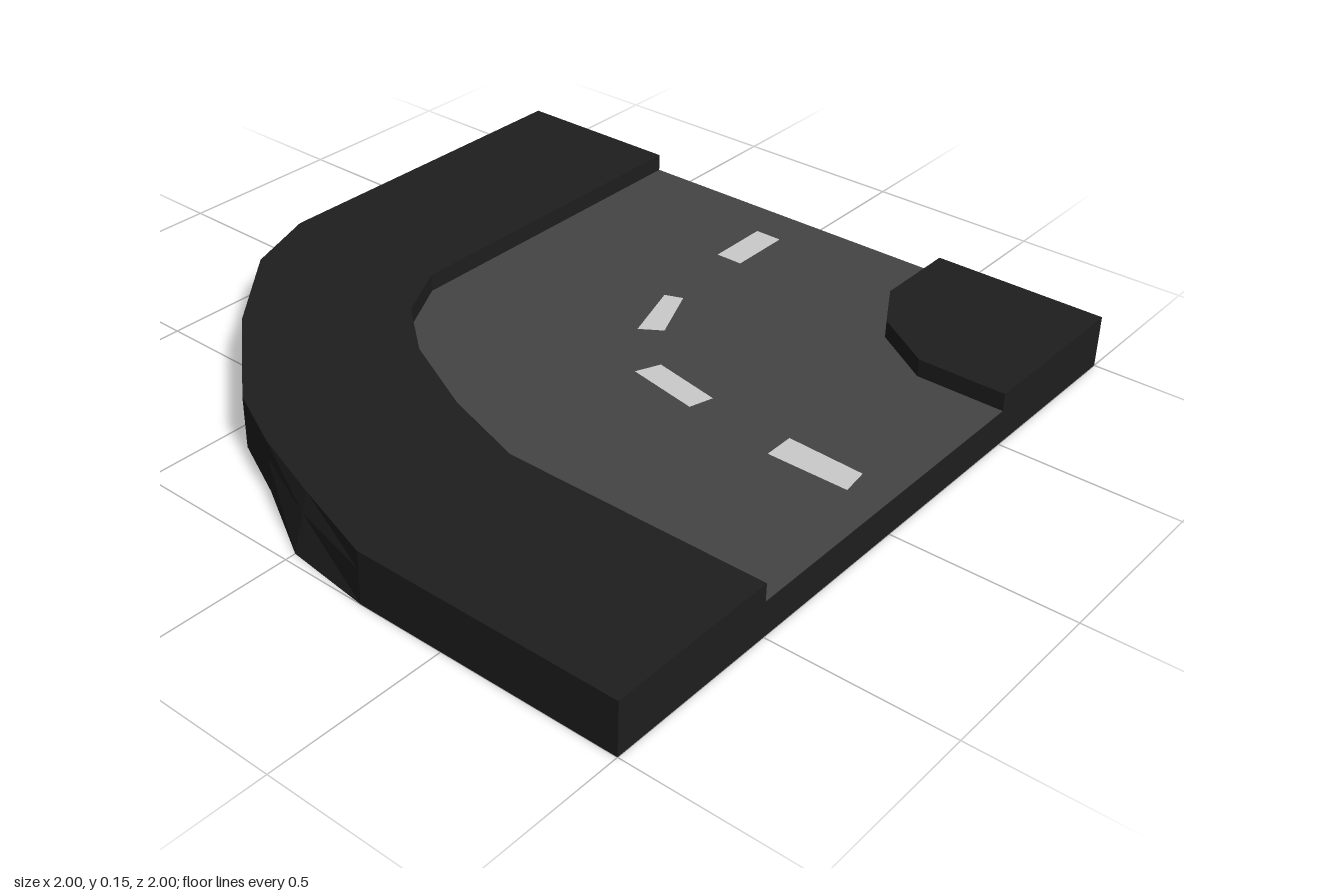
import * as THREE from 'three';

const ROAD_Y = 0.1, TOP_Y = 0.15, BASE_Y = 0.098;

const material = (color) => new THREE.MeshStandardMaterial({ color, flatShading: true });

// Plan outlines are given as [x, z] pairs
const planShape = (points) => new THREE.Shape(points.map(([x, z]) => new THREE.Vector2(x, -z)));

// Upright prism standing on a plan outline
function prism(name, points, bottom, top, mat) {
  const geometry = new THREE.ExtrudeGeometry(planShape(points), { depth: top - bottom, bevelEnabled: false });
  geometry.rotateX(-Math.PI / 2).translate(0, bottom, 0);
  // One outer corner leans inward towards the top
  const p = geometry.attributes.position;
  for (let i = 0; i < p.count; i++) {
    if (Math.abs(p.getX(i) + 0.97) < 0.001 && Math.abs(p.getZ(i)) < 0.001) {
      p.setX(i, p.getX(i) + 0.05 * p.getY(i) / TOP_Y);
    }
  }
  geometry.computeVertexNormals();
  const mesh = new THREE.Mesh(geometry, mat);
  mesh.name = name;
  return mesh;
}

// Flat upward-facing sheet
function sheet(name, points, y, mat) {
  const geometry = new THREE.ShapeGeometry(planShape(points));
  geometry.rotateX(-Math.PI / 2).translate(0, y, 0);
  const mesh = new THREE.Mesh(geometry, mat);
  mesh.name = name;
  return mesh;
}

export function createModel() {
  const group = new THREE.Group();
  group.name = 'roadCorner';
  const kerb = material(0x1e1e1e), asphalt = material(0x444444), paint = material(0xcccccc);

  // Curves that bound the kerbs, from the front edge round to the right edge
  const outer = [[-1, 1], [-1, 0.25], [-0.97, 0], [-0.84, -0.23], [-0.75, -0.42],
    [-0.5, -0.71], [-0.25, -0.92], [-0.03, -1], [1, -1]];
  const inner = [[-0.5, 1], [-0.5, 0.25], [-0.42, 0], [-0.3, -0.25], [-0.17, -0.41], [0, -0.5], [1, -0.5]];
  const island = [[0.5, 1], [0.5, 0.75], [0.61, 0.58], [0.75, 0.5], [1, 0.5]];

  // Slab, raised kerbs and road surface
  group.add(prism('base', [...outer, [1, 1]], 0, BASE_Y, kerb));
  group.add(prism('outerKerb', [...outer, ...[...inner].reverse()], BASE_Y, TOP_Y, kerb));
  group.add(prism('innerKerb', [...island, [1, 1]], BASE_Y, TOP_Y, kerb));
  group.add(sheet('roadSurface', [...inner, ...[...island].reverse()], ROAD_Y, asphalt));

  // Painted centre line
  const dashes = [
    [[0.68, -0.03], [0.87, -0.03], [0.87, 0.05], [0.68, 0.05]],
    [[0.21, 0.06], [0.4, 0], [0.42, 0.05], [0.25, 0.12]],
    [[0.04, 0.19], [0.11, 0.22], [0.07, 0.42], [0, 0.4]],
    [[-0.04, 0.67], [0.05, 0.67], [0.04, 0.89], [-0.04, 0.9]],
  ];
  dashes.forEach((points, i) => group.add(sheet(`laneDash${i + 1}`, points, ROAD_Y + 0.002, paint)));

  return group;
}
